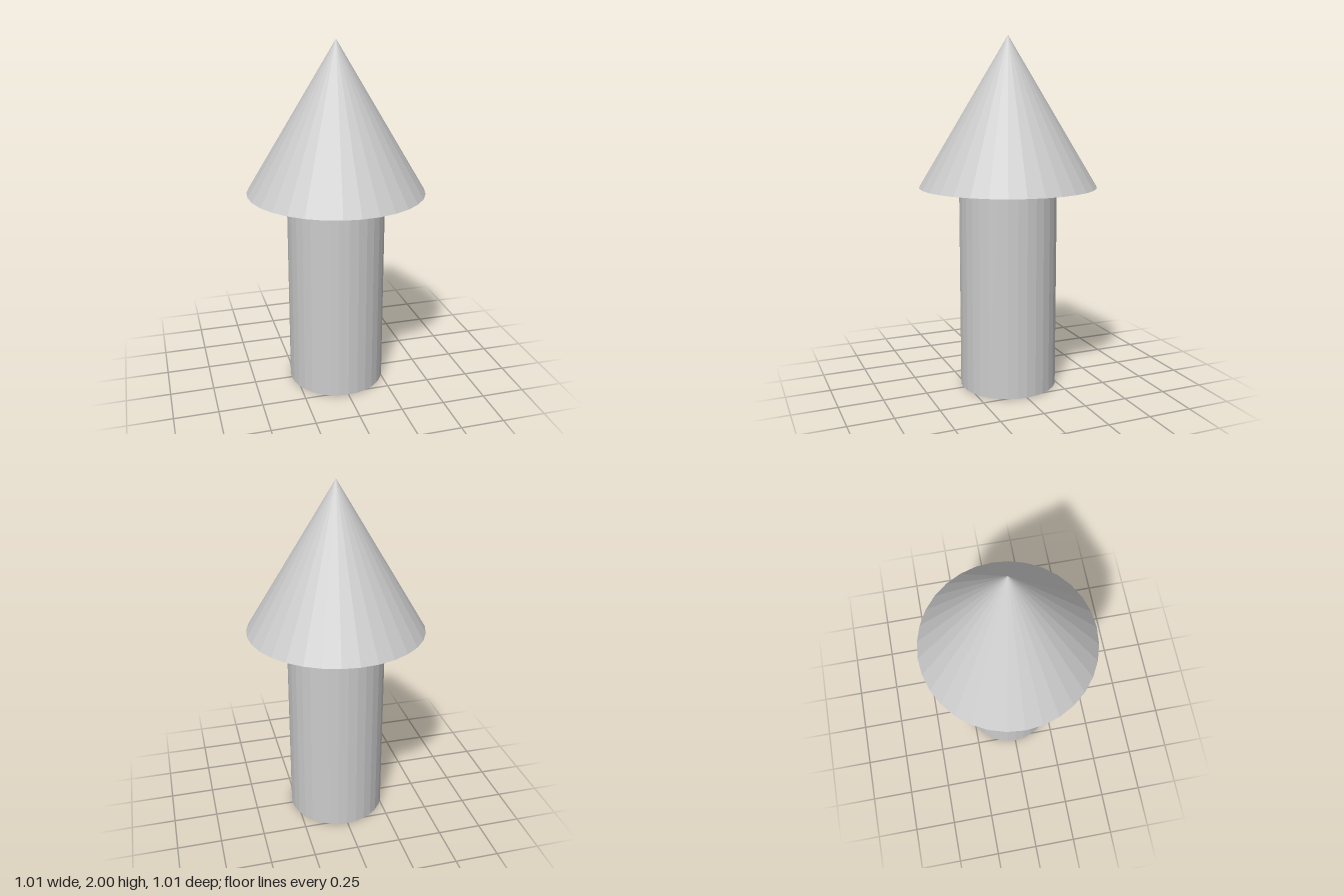
import * as THREE from 'three';

const SIDES = 32;
const SHAFT_HEIGHT = 1.16;
const TOTAL_HEIGHT = 2;

export function createModel() {
  const group = new THREE.Group();
  group.name = 'arrow';
  const material = new THREE.MeshStandardMaterial({ color: 0xcccccc, flatShading: true });

  // Adds a mesh whose base rests at the given height
  const addPart = (name, geometry, height, base) => {
    const mesh = new THREE.Mesh(geometry, material);
    mesh.name = name;
    mesh.position.y = base + height / 2;
    group.add(mesh);
  };

  // Straight round shaft
  addPart('shaft', new THREE.CylinderGeometry(0.278, 0.278, SHAFT_HEIGHT, SIDES), SHAFT_HEIGHT, 0);

  // Wide pointed head with a flat underside
  const headHeight = TOTAL_HEIGHT - SHAFT_HEIGHT;
  addPart('head', new THREE.ConeGeometry(0.503, headHeight, SIDES), headHeight, SHAFT_HEIGHT);

  return group;
}
